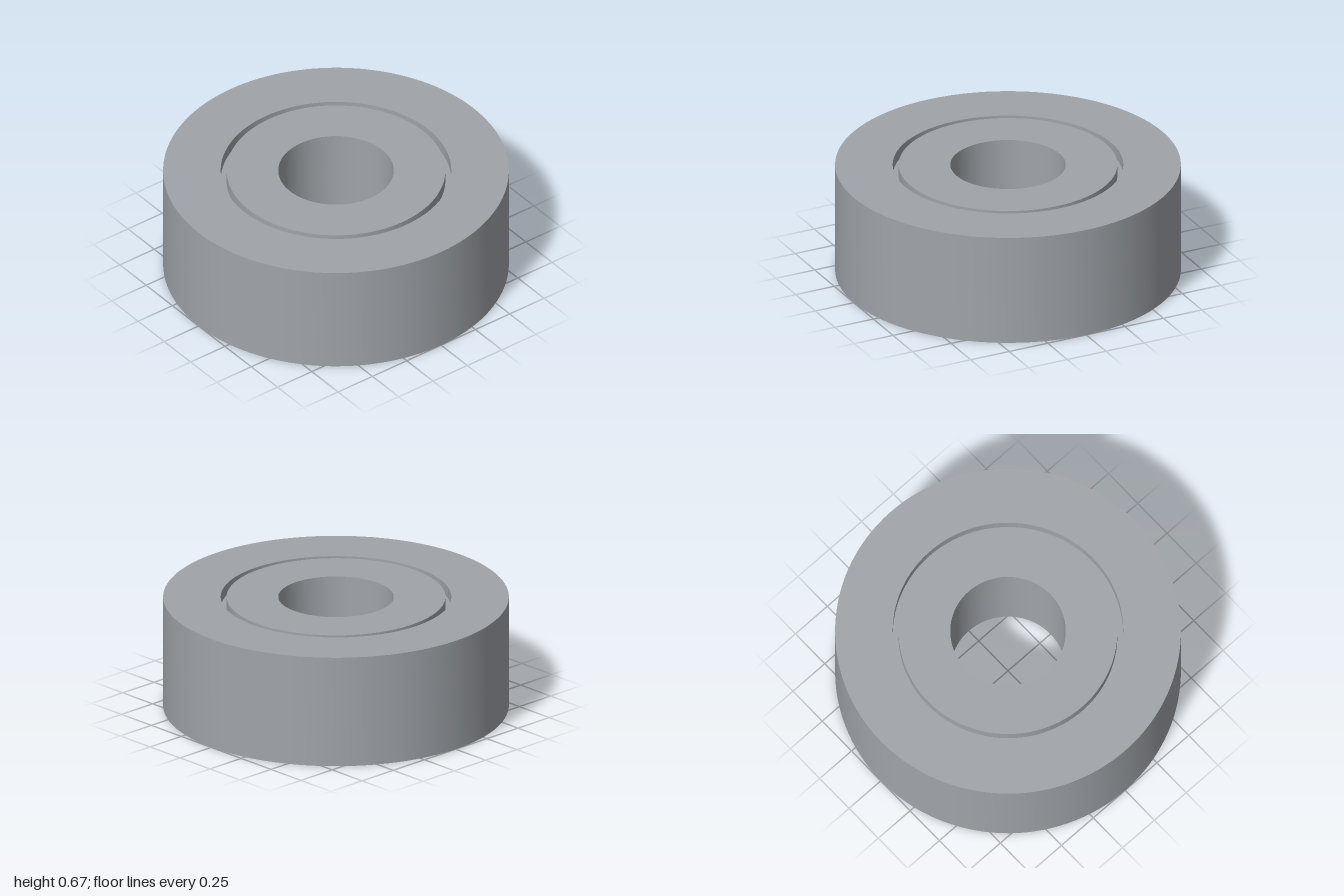
import * as THREE from 'three';
import { toCreasedNormals } from 'three/addons/utils/BufferGeometryUtils.js';

const HEIGHT = 0.67;
const GROOVE = 0.07; // depth of the groove on both faces

// Ring of rectangular section between two radii and two heights
function ring(name, inner, outer, bottom, top, material) {
  const profile = [
    [inner, bottom], [outer, bottom], [outer, top], [inner, top], [inner, bottom],
  ].map(([r, y]) => new THREE.Vector2(r, y));
  const geometry = toCreasedNormals(new THREE.LatheGeometry(profile, 128), Math.PI / 6);
  const mesh = new THREE.Mesh(geometry, material);
  mesh.name = name;
  return mesh;
}

export function createModel() {
  const group = new THREE.Group();
  group.name = 'ballBearing';
  // Bluish steel
  const steel = new THREE.MeshStandardMaterial({ color: 0xa0a4a9 });

  group.add(
    ring('outerRing', 0.667, 1, 0, HEIGHT, steel),
    ring('innerRing', 0.334, 0.633, 0, HEIGHT, steel),
    // Recessed seal that closes the gap between the rings
    ring('seal', 0.633, 0.667, GROOVE, HEIGHT - GROOVE, steel),
  );
  return group;
}
